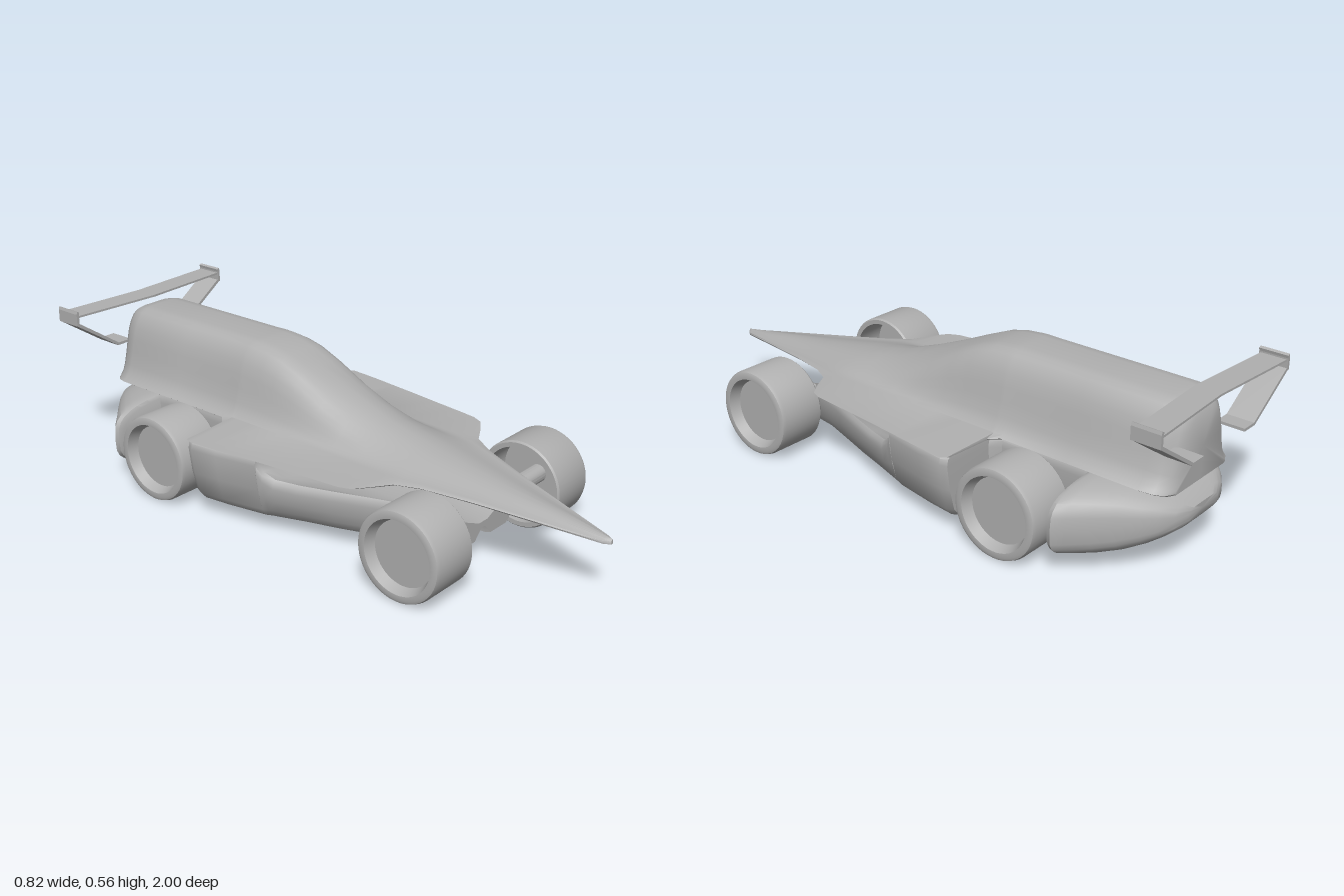
import * as THREE from 'three';
import { toCreasedNormals } from 'three/addons/utils/BufferGeometryUtils.js';

const grey = new THREE.MeshStandardMaterial({ color: 0xb0b0b0 });
grey.name = 'plain grey';

function add(parent, name, geometry) {
  const mesh = new THREE.Mesh(geometry, grey);
  mesh.name = name;
  parent.add(mesh);
  return mesh;
}

// Closed loft along z. Each section is a half outline from bottom centre to top centre.
function loft(sections, crease = 0.7) {
  const rings = sections.map(({ z, half }) => {
    const mirrored = half.slice(1, -1).reverse().map(([x, y]) => [-x, y]);
    return [...half, ...mirrored].map(([x, y]) => [x, y, z]);
  });
  const n = rings[0].length, pos = [];
  const tri = (a, b, c) => pos.push(...a, ...b, ...c);
  for (let i = 0; i < rings.length - 1; i++) {
    for (let j = 0; j < n; j++) {
      const k = (j + 1) % n, f = rings[i], r = rings[i + 1];
      tri(r[j], r[k], f[j]);
      tri(f[j], r[k], f[k]);
    }
  }
  const top = sections[0].half.length - 1;
  [rings[0], rings[rings.length - 1]].forEach((ring, end) => {
    const centre = [0, (ring[0][1] + ring[top][1]) / 2, ring[0][2]];
    for (let j = 0; j < n; j++) {
      const a = ring[j], b = ring[(j + 1) % n];
      if (end) tri(centre, b, a); else tri(centre, a, b);
    }
  });
  const g = new THREE.BufferGeometry();
  g.setAttribute('position', new THREE.Float32BufferAttribute(pos, 3));
  return toCreasedNormals(g, crease);
}

// Bell outline of the engine cover: distance from centre, share of height
const bell = [[0.195, 0.02], [0.18, 0.09], [0.168, 0.2], [0.155, 0.39], [0.145, 0.56], [0.133, 0.73],
  [0.118, 0.85], [0.1, 0.94], [0.08, 0.985], [0.05, 1], [0, 1]];

// Nose, shelves and engine cover: z, half width, edge height, top height
function upperShell() {
  const stations = [
    [1, 0.005, 0.204, 0.211], [0.98, 0.02, 0.206, 0.214], [0.8, 0.072, 0.227, 0.241],
    [0.6, 0.13, 0.25, 0.27], [0.45, 0.18, 0.266, 0.296], [0.38, 0.22, 0.272, 0.309],
    [0.345, 0.28, 0.275, 0.316], [0.31, 0.33, 0.276, 0.324], [0.27, 0.347, 0.277, 0.334],
    [0.2, 0.355, 0.278, 0.35], [0.1, 0.366, 0.279, 0.387], [0, 0.378, 0.28, 0.427],
    [-0.1, 0.39, 0.28, 0.468], [-0.18, 0.4, 0.28, 0.498], [-0.24, 0.406, 0.28, 0.513],
    [-0.3, 0.41, 0.28, 0.519], [-0.318, 0.4, 0.28, 0.52], [-0.33, 0.23, 0.28, 0.52],
    [-0.36, 0.2, 0.28, 0.52], [-0.6, 0.2, 0.28, 0.52], [-0.85, 0.2, 0.28, 0.52],
    [-0.89, 0.185, 0.275, 0.513], [-0.915, 0.165, 0.27, 0.498], [-0.932, 0.135, 0.27, 0.475],
  ];
  return loft(stations.map(([z, hw, e, t]) => {
    const s = Math.min(1, hw / 0.205);
    const full = THREE.MathUtils.clamp((t - 0.3) / 0.18, 0, 1);
    const half = [[0, e - 0.009], [hw * 0.96, e - 0.009], [hw, e - 0.004]];
    for (const [x, h] of bell) {
      const soft = 0.5 + 0.5 * Math.cos(Math.PI * x / 0.2);
      half.push([x * s, e + (t - e) * THREE.MathUtils.lerp(soft, h, full)]);
    }
    return { z, half };
  }));
}

// Tub and side pods with a channel below: z, half width, bottom, top, scoop depth
function lowerBody() {
  const stations = [
    [0.56, 0.165, 0.065, 0.18, 0.06], [0.54, 0.18, 0.058, 0.198, 0.075], [0.4, 0.2, 0.055, 0.2, 0.075],
    [0.3, 0.235, 0.052, 0.2, 0.07], [0.18, 0.28, 0.05, 0.2, 0.06], [0.08, 0.315, 0.05, 0.2, 0.045],
    [0, 0.343, 0.048, 0.205, 0.03], [-0.035, 0.355, 0.047, 0.225, 0.015], [-0.053, 0.362, 0.046, 0.25, 0.005],
    [-0.055, 0.364, 0.046, 0.276, 0], [-0.2, 0.393, 0.045, 0.276, 0], [-0.295, 0.406, 0.045, 0.276, 0],
    [-0.318, 0.395, 0.047, 0.274, 0], [-0.33, 0.22, 0.047, 0.274, 0], [-0.36, 0.192, 0.047, 0.274, 0],
    [-0.64, 0.192, 0.047, 0.274, 0], [-0.7, 0.2, 0.05, 0.272, 0],
  ];
  return loft(stations.map(([z, w, b, t, dip]) => ({
    z,
    half: [[0, 0.1], [0.028, 0.1], [0.037, 0.092], [0.041, 0.08], [0.042, b], [w * 0.76, b], [w * 0.86, b + 0.012],
      [w * 0.92, b + 0.04], [w * 0.97, (b + t) / 2], [w, t - 0.03], [w * 0.99, t - 0.01], [w * 0.96, t],
      [w * 0.85, t - dip * 0.25], [w * 0.6, t - dip * 0.75], [w * 0.3, t - dip], [0, t - dip]],
  })));
}

// Rounded tail fairing behind the rear wheels: z, half width, bottom, top
function tail() {
  const stations = [
    [-0.668, 0.365, 0.065, 0.262], [-0.676, 0.383, 0.054, 0.272], [-0.69, 0.388, 0.05, 0.275],
    [-0.72, 0.36, 0.05, 0.275], [-0.77, 0.31, 0.054, 0.27], [-0.82, 0.262, 0.066, 0.262],
    [-0.87, 0.212, 0.09, 0.245], [-0.905, 0.172, 0.113, 0.23], [-0.932, 0.13, 0.135, 0.213],
    [-0.948, 0.08, 0.155, 0.196],
  ];
  return loft(stations.map(([z, w, b, t]) => {
    const half = [];
    for (let i = 0; i <= 16; i++) {
      const a = (i / 16 - 0.5) * Math.PI;
      const x = i % 16 ? w * Math.pow(Math.cos(a), 0.45) : 0;
      const y = (b + t) / 2 + (t - b) / 2 * Math.sign(Math.sin(a)) * Math.pow(Math.abs(Math.sin(a)), 0.6);
      half.push([x, y]);
    }
    return { z, half };
  }));
}

// Solid of revolution about x on one side of the car
function turned(profile, side, segments) {
  const g = new THREE.LatheGeometry(profile.map(([r, x]) => new THREE.Vector2(r, x)), segments);
  g.rotateZ(-side * Math.PI / 2);
  return toCreasedNormals(g, 0.5);
}

function polygon(points) {
  return new THREE.Shape(points.map(([x, y]) => new THREE.Vector2(x, y)));
}

export function createModel() {
  const car = new THREE.Group();
  car.name = 'racingCar';

  add(car, 'upperShell', upperShell());
  add(car, 'lowerBody', lowerBody());
  add(car, 'tailFairing', tail());

  // Wheels with hollow inner sides, recessed discs and stepped axles
  const wheel = [[0, 0.34], [0.128, 0.34], [0.128, 0.228], [0.143, 0.228], [0.148, 0.234], [0.148, 0.385],
    [0.144, 0.396], [0.135, 0.4], [0.12, 0.399], [0.106, 0.365], [0, 0.365]];
  const axle = [[0, 0.12], [0.014, 0.12], [0.014, 0.2], [0.03, 0.203], [0.03, 0.345], [0, 0.345]];
  for (const side of [1, -1]) {
    const label = side > 0 ? 'left' : 'right';
    for (const [end, z] of [['Front', 0.535], ['Rear', -0.495]]) {
      add(car, label + end + 'Wheel', turned(wheel, side, 48)).position.set(0, 0.15, z);
      add(car, label + end + 'Axle', turned(axle, side, 20)).position.set(0, 0.152, z);
    }

    // Wing supports and end plates
    const strut = polygon([[0.34, 0.506], [0.167, 0.39], [0.11, 0.39], [0.11, 0.399], [0.163, 0.399],
      [0.332, 0.514]].map(([x, y]) => [x * side, y]));
    add(car, label + 'WingStrut', new THREE.ExtrudeGeometry(strut, { depth: 0.09, bevelEnabled: false }))
      .position.z = -0.998;
    const plate = polygon([[0.331, 0.51], [0.341, 0.506], [0.341, 0.548], [0.338, 0.558], [0.329, 0.554],
      [0.331, 0.545]].map(([x, y]) => [x * side, y]));
    add(car, label + 'WingEndPlate', new THREE.ExtrudeGeometry(plate, { depth: 0.095, bevelEnabled: false }))
      .position.z = -1;
  }

  // Rear wing with a slightly swept plan
  const plan = polygon([[-0.335, 0.91], [0, 0.888], [0.335, 0.91], [0.335, 0.995], [0, 0.975], [-0.335, 0.995]]);
  const wing = new THREE.ExtrudeGeometry(plan, { depth: 0.007, bevelEnabled: false });
  wing.rotateX(-Math.PI / 2);
  add(car, 'rearWing', wing).position.y = 0.533;

  return car;
}
